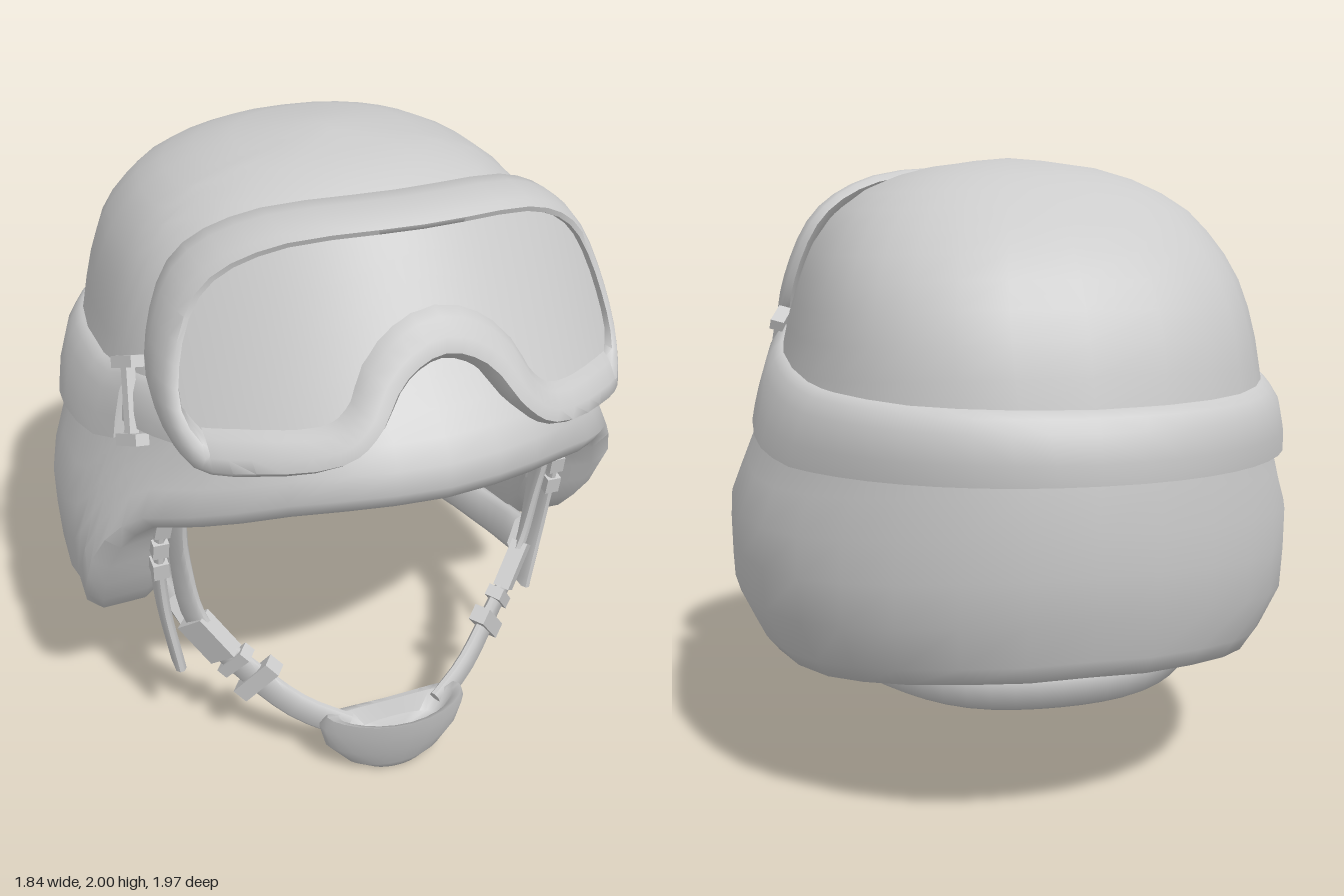
import * as THREE from 'three';
import { toCreasedNormals } from 'three/addons/utils/BufferGeometryUtils.js';

const V = (x, y, z) => new THREE.Vector3(x, y, z);
const material = new THREE.MeshStandardMaterial({ color: 0xcccccc });
const thin = new THREE.MeshStandardMaterial({ color: 0xcccccc, side: THREE.DoubleSide });

// Joins equal-length rings of points into a surface, faces turned outward
function loft(rings, { loop = false, closed = false, crease = 1 } = {}) {
  const n = rings[0].length, m = rings.length, index = [];
  const pts = rings.flat();
  let volume = 0;
  const tri = (a, b, c) => {
    index.push(a, b, c);
    volume += pts[a].dot(pts[b].clone().cross(pts[c]));
  };
  for (let i = 0; i < (loop ? m : m - 1); i++) {
    for (let j = 0; j < (closed ? n : n - 1); j++) {
      const a = i * n + j, b = i * n + (j + 1) % n;
      const k = ((i + 1) % m) * n, c = k + j, d = k + (j + 1) % n;
      tri(a, b, c);
      tri(b, d, c);
    }
  }
  if (volume < 0) index.reverse();
  const g = new THREE.BufferGeometry().setFromPoints(pts);
  g.setIndex(index);
  return toCreasedNormals(g, crease);
}

// Adds collapsed end rings so a lofted strip is closed
function capped(rings) {
  const cap = (r) => {
    const c = r.reduce((s, p) => s.add(p), V(0, 0, 0)).divideScalar(r.length);
    return r.map(() => c.clone());
  };
  return [cap(rings[0]), ...rings, cap(rings[rings.length - 1])];
}

// Linear lookup in rows sorted by their first value
function lookup(rows, t) {
  let i = 0;
  while (i < rows.length - 2 && t > rows[i + 1][0]) i++;
  const a = rows[i], b = rows[i + 1];
  const f = THREE.MathUtils.clamp((t - a[0]) / (b[0] - a[0]), 0, 1);
  return a.slice(1).map((v, k) => v + (b[k + 1] - v) * f);
}

// Shell cross-sections: height, half width, front reach, back reach, squareness of front and back
const sections = [
  [0.43, 0.78, 0.72, 0.83, 2.8, 2], [0.48, 0.845, 0.77, 0.86, 2.8, 2], [0.55, 0.895, 0.82, 0.9, 2.8, 2], [0.64, 0.917, 0.87, 0.945, 2.8, 2],
  [0.88, 0.92, 0.94, 0.972, 2.8, 2], [1.12, 0.83, 0.97, 0.955, 2.4, 2.15], [1.28, 0.765, 0.975, 0.922, 2.2, 2.45],
  [1.38, 0.74, 0.955, 0.9, 2.2, 2.6], [1.5, 0.715, 0.84, 0.865, 2.2, 2.7], [1.62, 0.68, 0.74, 0.8, 2.2, 2.7],
  [1.72, 0.64, 0.65, 0.72, 2.2, 2.6], [1.82, 0.57, 0.55, 0.61, 2.2, 2.5], [1.9, 0.46, 0.45, 0.48, 2.2, 2.4],
  [1.95, 0.34, 0.35, 0.36, 2.2, 2.3], [1.98, 0.21, 0.24, 0.22, 2.2, 2.2], [2, 0, 0, 0, 2.2, 2.2],
];
// Rim: angle from the front, height
const rim = [
  [0, 1.24], [10, 1.24], [20, 1.23], [31, 1.2], [41, 1.15], [50, 1.1], [57, 1.06],
  [62, 1.03], [67, 0.97], [71, 0.9], [74.6, 0.8], [77.4, 0.7], [80, 0.6], [83.5, 0.51], [88, 0.45],
  [98, 0.43], [110, 0.43], [122, 0.44], [133, 0.46], [144, 0.48], [156, 0.5], [168, 0.51], [180, 0.52],
];

function around(deg, y, w, front, back, nFront, nBack) {
  const a = THREE.MathUtils.degToRad(deg), s = Math.sin(a), c = Math.cos(a);
  const p = (v) => Math.sign(v) * Math.abs(v) ** (2 / (c > 0 ? nFront : nBack));
  return V(w * p(s), y, (c > 0 ? front : back) * p(c));
}
const outer = (deg, y, d = 0) => {
  const [w, f, b, nf, nb] = lookup(sections, y);
  return around(deg, y, w + d, f + d, b + d, nf, nb);
};
const inner = (deg, y) => {
  const [w, f, b, nf, nb] = lookup(sections, y + 0.1);
  return around(deg, y, Math.max(0, Math.min(0.64, w - 0.1)), Math.max(0, f - 0.1), Math.max(0, b - 0.11), nf, nb);
};

function shellGeometry() {
  const both = [...rim, ...rim.slice(1, -1).reverse().map(([a, y]) => [360 - a, y])];
  return loft(both.map(([deg, y]) => {
    const ring = [], lo = y + 0.05, rows = 18;
    for (let i = rows; i >= 0; i--) ring.push(outer(deg, 2 - (2 - lo) * (1 - i / rows) ** 1.7));
    const a = outer(deg, lo), b = inner(deg, lo);
    for (const f of [0.2, 0.75]) ring.push(a.clone().lerp(b, f).setY(y));
    for (let i = 0; i <= 12; i++) ring.push(inner(deg, 1.9 - (1.9 - lo) * (1 - i / 12) ** 1.7));
    return ring;
  }), { loop: true, crease: 1.3 });
}

// Padded band lying on the shell, fading out at its top; edges are [angle, low y, high y]
function bandGeometry(edges, thick) {
  const rings = [], from = edges[0][0], to = edges[edges.length - 1][0];
  const steps = Math.max(3, Math.round((to - from) / 7));
  for (let i = 0; i <= steps; i++) {
    const deg = from + (to - from) * i / steps, [lo, hi] = lookup(edges, deg);
    const at = (f, d) => outer(deg, lo + (hi - lo) * f, d * thick);
    rings.push([at(0, -0.6), at(0, 0.75), at(0.3, 1), at(0.7, 1), at(0.9, 0.6), at(1, 0.15), at(1, -0.6)]);
  }
  return loft(capped(rings), { closed: true, crease: 0.9 });
}

// Flat strap along a curve, its face turned away from a centre
function frameAt(curve, t, centre) {
  const p = curve.getPointAt(t), tan = curve.getTangentAt(t);
  const side = tan.clone().cross(p.clone().sub(centre(p))).normalize();
  return { p, tan, side, out: side.clone().cross(tan).normalize() };
}
function strapGeometry(curve, width, thick, centre, steps = 20) {
  const rings = [];
  for (let i = 0; i <= steps; i++) {
    const { p, side, out } = frameAt(curve, i / steps, centre);
    rings.push([[-1, -0.4], [-0.7, -1], [0.7, -1], [1, -0.4], [1, 0.4], [0.7, 1], [-0.7, 1], [-1, 0.4]].map(([a, b]) =>
      p.clone().addScaledVector(side, a * width / 2).addScaledVector(out, b * thick / 2)));
  }
  return loft(capped(rings), { closed: true, crease: 0.9 });
}

// Goggle face: tilted back at the top, wrapping back at the sides
const faceZ = (x, y) => 0.715 + (1.95 - y) * 0.61 - 0.82 * x * x;

function goggleFrameGeometry() {
  const half = [ // x, y, border width
    [0, 1.99, 0.05], [0.38, 1.95, 0.05], [0.58, 1.83, 0.05], [0.68, 1.63, 0.05], [0.705, 1.45, 0.065],
    [0.65, 1.335, 0.12], [0.5, 1.35, 0.125], [0.28, 1.41, 0.11], [0.19, 1.48, 0.11], [0.1, 1.59, 0.13], [0, 1.63, 0.14],
  ];
  const all = [...half, ...half.slice(1, -1).reverse().map(([x, y, t]) => [-x, y, t])];
  const curve = new THREE.CatmullRomCurve3(all.map((p) => V(...p)), true);
  // inset as a share of the border, depth
  const profile = [[1, -0.03], [0.85, 0.01], [0.55, 0.025], [0.25, 0.01], [0.05, -0.035], [0, -0.09], [0.1, -0.16], [0.5, -0.2], [1.1, -0.19]];
  const rings = [];
  for (let i = 0; i < 64; i++) {
    const p = curve.getPoint(i / 64), t = curve.getTangent(i / 64).setZ(0).normalize();
    rings.push(profile.map(([inset, dz]) => {
      const x = p.x + t.y * inset * p.z, y = p.y - t.x * inset * p.z;
      return V(x, y, faceZ(x, y) + dz);
    }));
  }
  return loft(rings, { loop: true, closed: true });
}

function lensGeometry() {
  const top = [[0, 1.95], [0.37, 1.92], [0.56, 1.8], [0.65, 1.62], [0.66, 1.5]];
  const bottom = [[0, 1.72], [0.12, 1.67], [0.22, 1.53], [0.34, 1.46], [0.6, 1.42], [0.66, 1.5]];
  const rings = [];
  for (let i = -20; i <= 20; i++) {
    const x = 0.66 * i / 20, [hi] = lookup(top, Math.abs(x)), [lo] = lookup(bottom, Math.abs(x));
    rings.push([0, 0.25, 0.5, 0.75, 1].map((f) => {
      const y = lo + (hi - lo) * f;
      return V(x, y, faceZ(x, y) - 0.02);
    }));
  }
  return loft(rings);
}

// Chin cup rings: y, half width, front z, back z, tilt
function chinCupGeometry() {
  const rows = [
    [0, 0, 0.68, 0.68, 0], [0.005, 0.09, 0.7, 0.65, 0], [0.04, 0.165, 0.72, 0.63, 0], [0.11, 0.235, 0.755, 0.6, 0.01],
    [0.19, 0.255, 0.79, 0.57, 0.025], [0.24, 0.235, 0.805, 0.58, 0.04], [0.235, 0.2, 0.78, 0.6, 0.03], [0.15, 0.14, 0.74, 0.62, 0], [0.14, 0, 0.68, 0.68, 0],
  ];
  return loft(rows.map(([y, w, f, b, tilt]) => Array.from({ length: 24 }, (_, i) => {
    const a = i / 24 * Math.PI * 2, x = w * Math.sin(a);
    return V(x, y + tilt * Math.cos(a), (f + b) / 2 + (f - b) / 2 * Math.cos(a) - 0.9 * x * x);
  })), { closed: true });
}

export function createModel() {
  const model = new THREE.Group();
  const add = (name, geometry, mat = material) => {
    const mesh = new THREE.Mesh(geometry, mat);
    mesh.name = name;
    model.add(mesh);
    return mesh;
  };
  const box = (name, size, pos, x, y, z) => {
    const mesh = add(name, new THREE.BoxGeometry(...size));
    mesh.quaternion.setFromRotationMatrix(new THREE.Matrix4().makeBasis(x, y, z));
    mesh.position.copy(pos);
  };

  add('helmetShell', shellGeometry());
  add('goggleFrame', goggleFrameGeometry());
  add('goggleLens', lensGeometry(), thin);

  // Goggle strap around the back
  const strapHalf = [[74, 1.24, 1.45], [83, 1.18, 1.39], [98, 1.12, 1.35], [115, 1.09, 1.32], [145, 1.09, 1.3], [180, 1.09, 1.29]];
  const mirrored = strapHalf.slice(0, -1).reverse().map(([a, l, h]) => [360 - a, l, h]);
  add('goggleStrap', bandGeometry([...strapHalf, ...mirrored], 0.045));

  // Chin cup and neck strap
  add('chinCup', chinCupGeometry());
  const neck = [[0.61, 0.53, 0.3], [0.61, 0.47, 0.05], [0.53, 0.43, -0.3], [0.3, 0.4, -0.55]];
  const neckCurve = new THREE.CatmullRomCurve3([...neck, [0, 0.395, -0.62], ...neck.slice().reverse().map(([x, y, z]) => [-x, y, z])].map((p) => V(...p)));
  add('neckStrap', strapGeometry(neckCurve, 0.125, 0.06, (p) => V(0, p.y + 0.2, 0), 36));

  for (const s of [1, -1]) {
    const side = s > 0 ? 'left' : 'right';
    const path = (pts) => new THREE.CatmullRomCurve3(pts.map(([x, y, z]) => V(s * x, y, z)));

    // Tab from the goggles to the strap buckle
    const tab = [[58, 1.33, 1.48], [76, 1.28, 1.42]];
    add(side + 'GoggleTab', bandGeometry(s > 0 ? tab : tab.map(([a, l, h]) => [360 - a, l, h]).reverse(), 0.025));

    // Strap buckle: a bar with a cap at either end
    const a = outer(s * 69, 1.27, 0.025), b = outer(s * 73, 1.47, 0.03);
    const up = b.clone().sub(a), len = up.length();
    up.normalize();
    const back = V(s * 0.3, 0, -1).addScaledVector(up, -V(s * 0.3, 0, -1).dot(up)).normalize();
    const out = back.clone().cross(up);
    box(side + 'BuckleBar', [0.03, len, 0.03], a.clone().lerp(b, 0.5), back, up, out);
    for (const end of [a, b]) box(side + 'BuckleCap', [0.11, 0.035, 0.045], end, back, up, out);

    // Chin strap, turning from sideways at the top to forward at the cup, with its slides
    const centre = (p) => V(0, p.y + 0.1, Math.min(0.25, -0.4 + (p.y - 0.2) * 0.95));
    const chin = path([[0.63, 1.1, 0.41], [0.622, 0.8, 0.36], [0.575, 0.52, 0.37], [0.43, 0.34, 0.46], [0.3, 0.23, 0.55], [0.16, 0.17, 0.63]]);
    add(side + 'ChinStrap', strapGeometry(chin, 0.1, 0.035, centre));
    for (const [t, w, l] of [[0.54, 0.115, 0.17], [0.64, 0.13, 0.04], [0.72, 0.18, 0.055]]) {
      const f = frameAt(chin, t, centre);
      box(side + 'ChinSlide', [w, l, 0.055], f.p, f.side, f.tan, f.side.clone().cross(f.tan));
    }

    // Hanging strap end with keepers
    const tail = path([[0.66, 1.08, 0.4], [0.685, 0.87, 0.34], [0.675, 0.6, 0.305], [0.635, 0.32, 0.305]]);
    const level = (p) => V(0, p.y, p.z);
    add(side + 'StrapEnd', strapGeometry(tail, 0.095, 0.035, level));
    for (const t of [0.18, 0.3, 0.42]) {
      const f = frameAt(tail, t, level);
      box(side + 'StrapKeeper', [0.11, 0.06, 0.05], f.p, f.side, f.tan, f.side.clone().cross(f.tan));
    }
  }
  return model;
}
